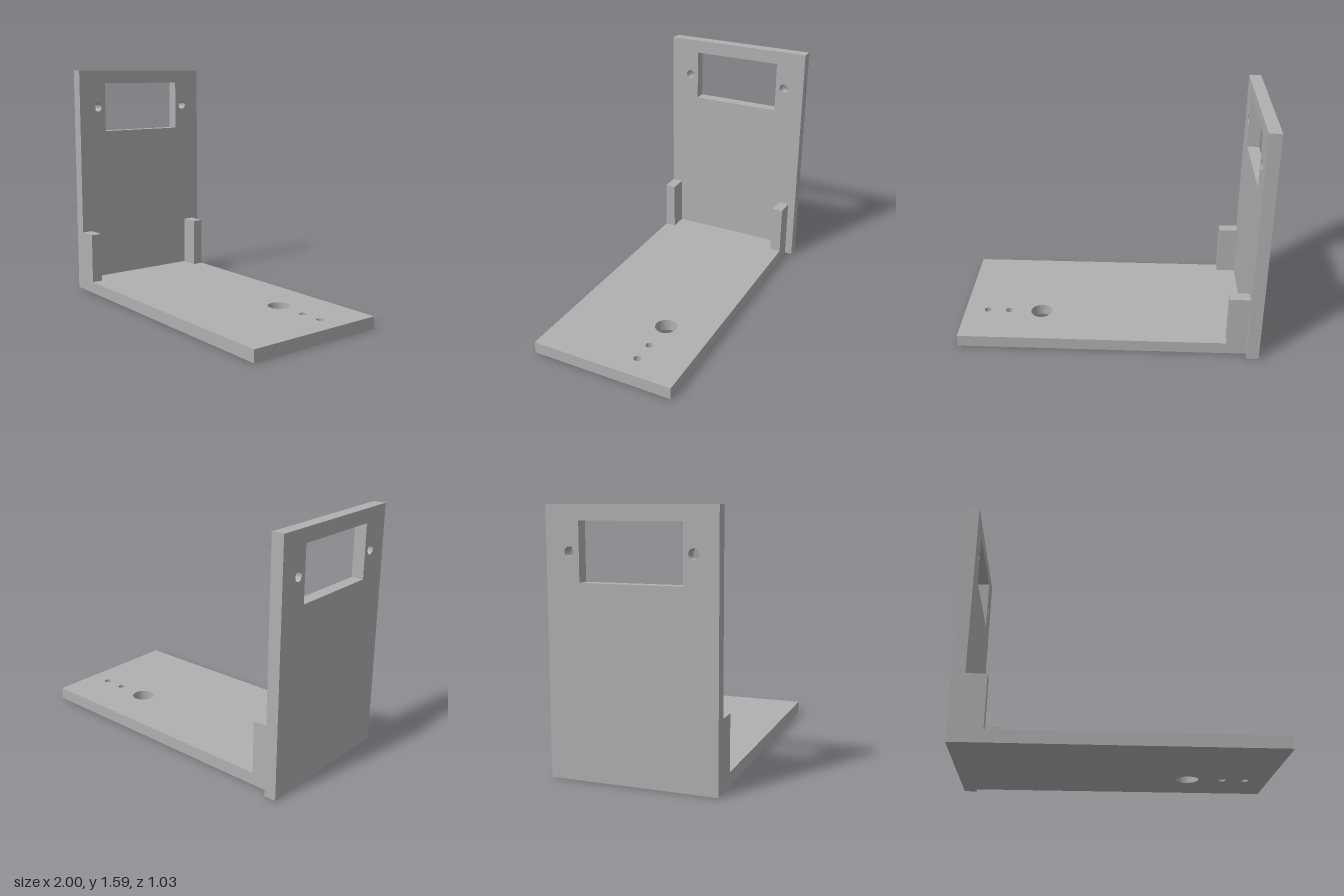
import * as THREE from 'three';
import { toCreasedNormals } from 'three/addons/utils/BufferGeometryUtils.js';

const THICK = 0.08;

// Rectangle outline from (x0, y0) to (x1, y1)
function rect(Type, x0, y0, x1, y1) {
  return new Type([[x0, y0], [x1, y0], [x1, y1], [x0, y1]].map(([x, y]) => new THREE.Vector2(x, y)));
}

function roundHole(x, y, r) {
  return new THREE.Path().absarc(x, y, r, 0, Math.PI * 2, true);
}

// Flat plate with its holes cut through
function plate(shape, holes) {
  shape.holes.push(...holes);
  const geo = new THREE.ExtrudeGeometry(shape, { depth: THICK, bevelEnabled: false, curveSegments: 32 });
  return toCreasedNormals(geo, 0.6);
}

export function createModel() {
  const group = new THREE.Group();
  const grey = new THREE.MeshStandardMaterial({ color: 0xb0b0b0 });
  grey.name = 'grey';

  function add(name, geo) {
    const mesh = new THREE.Mesh(geo, grey);
    mesh.name = name;
    group.add(mesh);
  }

  // Upright panel with a rectangular window and two screw holes (drawn in z, y)
  const panel = plate(rect(THREE.Shape, -0.515, 0, 0.515, 1.59), [
    rect(THREE.Path, -0.31, 1.153, 0.31, 1.5),
    roundHole(-0.37, 1.327, 0.03),
    roundHole(0.37, 1.327, 0.03),
  ]);
  panel.rotateY(-Math.PI / 2).translate(-0.92, 0, 0);
  add('uprightPanel', panel);

  // Base plate with one large and two small holes (drawn in x, z)
  const base = plate(rect(THREE.Shape, -0.92, -0.463, 1, 0.515), [
    roundHole(0.467, -0.15, 0.073),
    roundHole(0.693, -0.15, 0.025),
    roundHole(0.843, -0.15, 0.025),
  ]);
  base.rotateX(Math.PI / 2).translate(0, THICK, 0);
  add('basePlate', base);

  // Corner support posts at both sides of the joint
  for (const [name, z] of [['frontPost', 0.4775], ['backPost', -0.4255]]) {
    add(name, new THREE.BoxGeometry(0.13, 0.345, 0.075).translate(-0.855, THICK + 0.1725, z));
  }
  return group;
}
